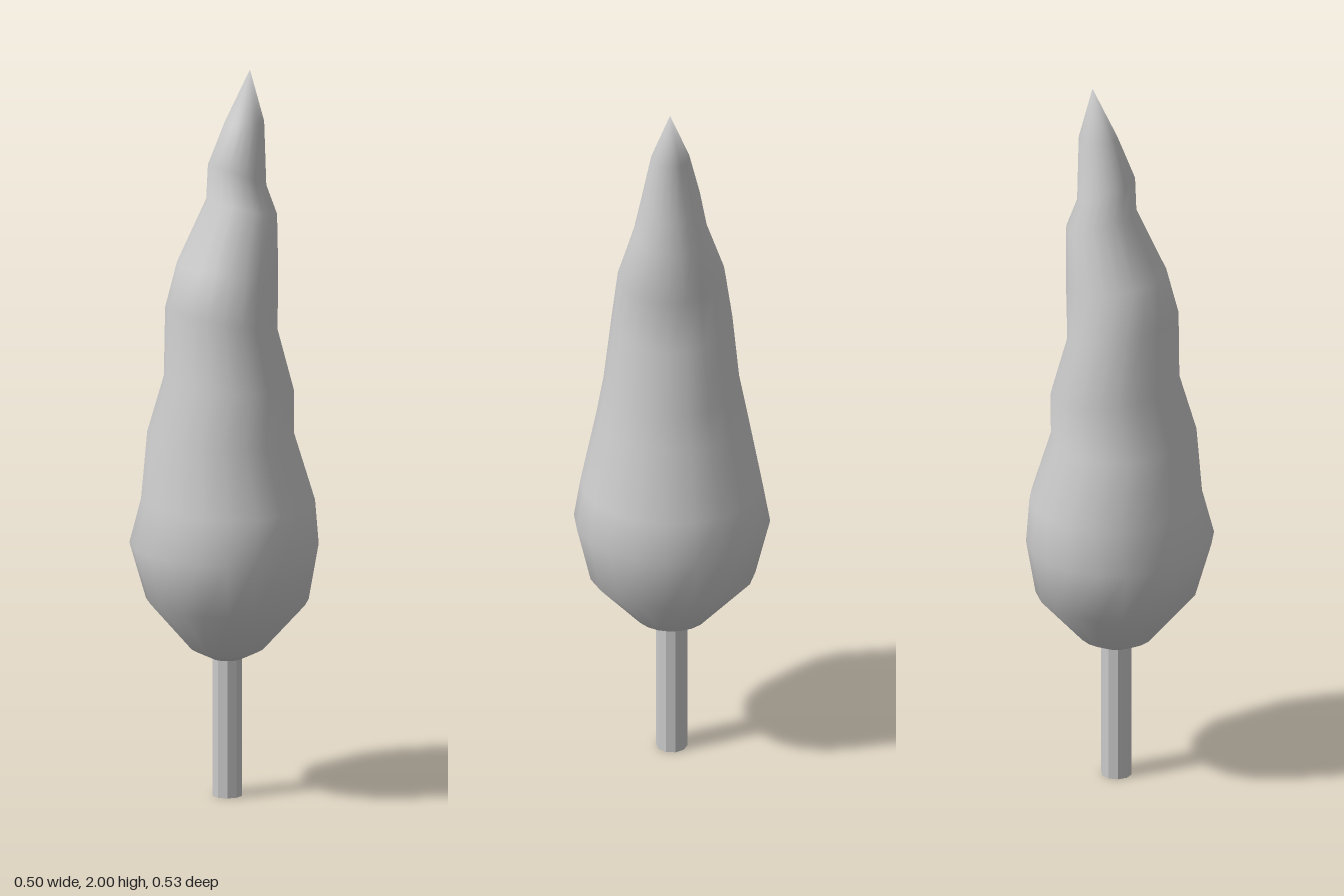
import * as THREE from 'three';

const SIDES = 20;

// Foliage cross-sections: [left y, left x, right y, right x, z radius]
// where "left" is the -x edge; rings tilt where the two heights differ.
const RINGS = [
  [0.38, -0.03, 0.38, 0.05, 0.04],
  [0.41, -0.09, 0.41, 0.11, 0.10],
  [0.545, -0.205, 0.545, 0.225, 0.225],
  [0.70, -0.25, 0.70, 0.248, 0.264],
  [0.82, -0.215, 0.82, 0.24, 0.245],
  [1.01, -0.205, 1.01, 0.18, 0.205],
  [1.165, -0.155, 1.12, 0.185, 0.183],
  [1.36, -0.155, 1.29, 0.135, 0.162],
  [1.48, -0.12, 1.45, 0.142, 0.145],
  [1.65, -0.035, 1.60, 0.15, 0.10],
  [1.75, -0.035, 1.68, 0.12, 0.08],
  [1.86, 0.015, 1.86, 0.12, 0.052],
];

function foliageGeometry() {
  const positions = [];
  const index = [];
  for (const [yl, xl, yr, xr, rz] of RINGS) {
    for (let i = 0; i < SIDES; i++) {
      const a = (i / SIDES) * Math.PI * 2;
      const t = (Math.cos(a) + 1) / 2;
      positions.push(xl + (xr - xl) * t, yl + (yr - yl) * t, rz * Math.sin(a));
    }
  }
  const last = (RINGS.length - 1) * SIDES;
  const tip = RINGS.length * SIDES;
  const base = tip + 1;
  positions.push(0.085, 2, 0, 0.01, 0.38, 0);

  for (let i = 0; i < SIDES; i++) {
    const j = (i + 1) % SIDES;
    for (let r = 0; r < last; r += SIDES) {
      index.push(r + i, r + SIDES + i, r + j);
      index.push(r + j, r + SIDES + i, r + SIDES + j);
    }
    index.push(last + i, tip, last + j); // pointed top
    index.push(base, i, j); // closed underside
  }
  const geometry = new THREE.BufferGeometry();
  geometry.setAttribute('position', new THREE.Float32BufferAttribute(positions, 3));
  geometry.setIndex(index);
  geometry.computeVertexNormals();
  return geometry;
}

export function createModel() {
  const tree = new THREE.Group();
  tree.name = 'tree';

  // Faceted trunk
  const trunk = new THREE.Mesh(
    new THREE.CylinderGeometry(0.042, 0.042, 0.4, 10),
    new THREE.MeshStandardMaterial({ color: 0xcccccc, flatShading: true })
  );
  trunk.name = 'trunk';
  trunk.position.set(0.01, 0.2, 0);
  tree.add(trunk);

  // Smooth, wavy foliage
  const foliage = new THREE.Mesh(
    foliageGeometry(),
    new THREE.MeshStandardMaterial({ color: 0xcccccc })
  );
  foliage.name = 'foliage';
  tree.add(foliage);

  return tree;
}
